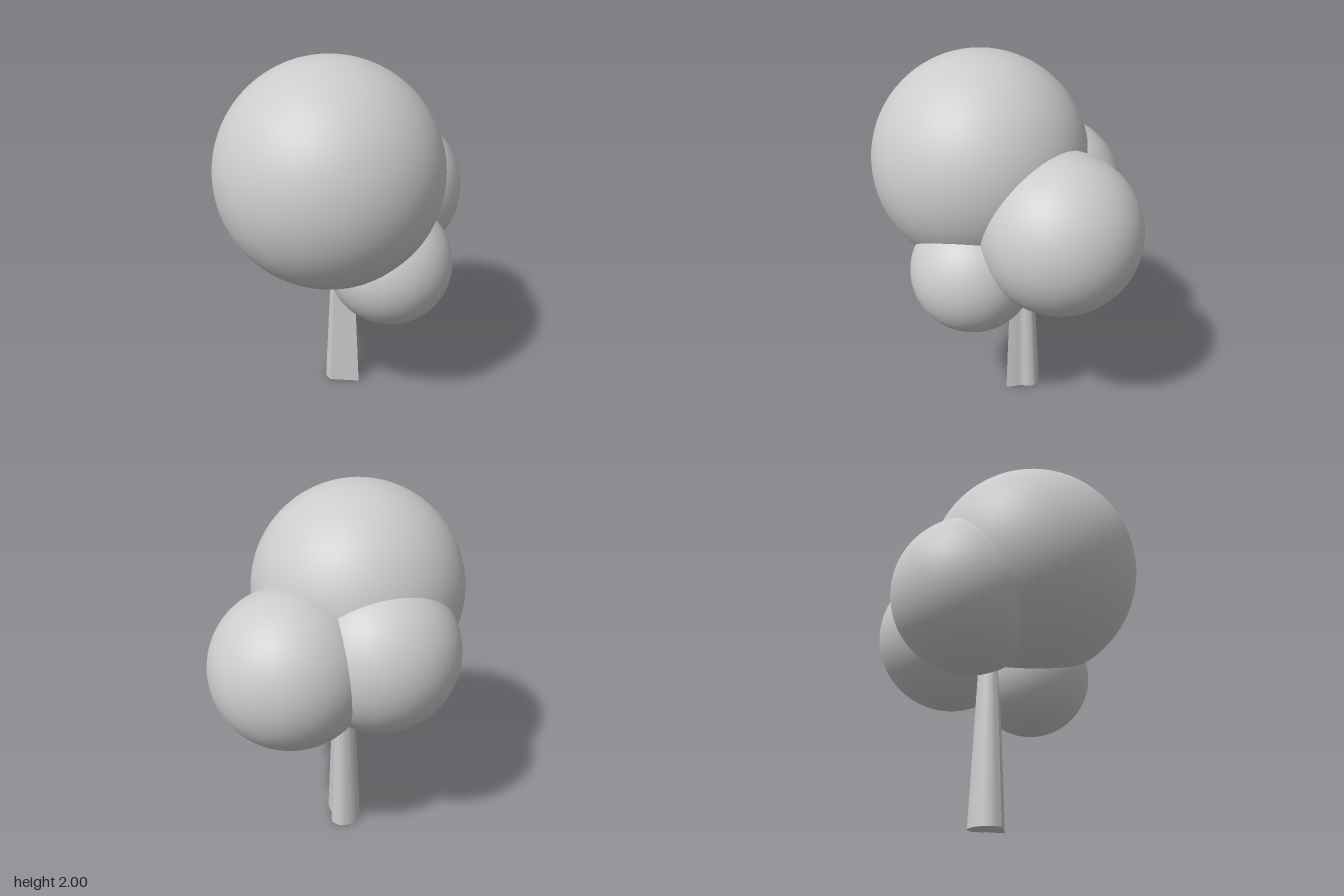
import * as THREE from 'three';
import { toCreasedNormals } from 'three/addons/utils/BufferGeometryUtils.js';

const material = new THREE.MeshStandardMaterial({ color: 0xcccccc });

// Foliage balls: name, radius, centre
const balls = [
  ['crownFoliage', 0.585, [-0.195, 1.415, 0.09]],
  ['leftFoliage', 0.425, [0.355, 1.16, -0.055]],
  ['backFoliage', 0.425, [-0.07, 1.2, -0.255]],
  ['frontFoliage', 0.335, [0.05, 0.905, 0.29]],
];

// Trunk: lobed cross-section with a ridge at the front, tapering upwards
function trunkGeometry() {
  const height = 1.05, cx = 0.0075, cz = -0.036;
  const outline = [
    [0.05, 0.03], [0.065, -0.01], [0.095, -0.045], [0.105, -0.085], [0.08, -0.13],
    [0.02, -0.15], [-0.04, -0.14], [-0.08, -0.1], [-0.09, -0.05],
  ].map(([x, z]) => new THREE.Vector2(x, -z));
  const shape = new THREE.Shape();
  shape.moveTo(0.03, -0.075);
  shape.splineThru(outline);
  shape.lineTo(0.03, -0.075);

  const geometry = new THREE.ExtrudeGeometry(shape, {
    depth: height, steps: 4, curveSegments: 36, bevelEnabled: false,
  });
  geometry.rotateX(-Math.PI / 2);
  const p = geometry.attributes.position;
  for (let i = 0; i < p.count; i++) {
    const s = 1 - 0.45 * p.getY(i);
    p.setX(i, cx + (p.getX(i) - cx) * s);
    p.setZ(i, cz + (p.getZ(i) - cz) * s);
  }
  return toCreasedNormals(geometry, Math.PI / 5);
}

export function createModel() {
  const tree = new THREE.Group();
  tree.name = 'tree';

  const trunk = new THREE.Mesh(trunkGeometry(), material);
  trunk.name = 'trunk';
  tree.add(trunk);

  for (const [name, radius, centre] of balls) {
    const ball = new THREE.Mesh(new THREE.SphereGeometry(radius, 64, 40), material);
    ball.name = name;
    ball.position.set(...centre);
    tree.add(ball);
  }
  return tree;
}
